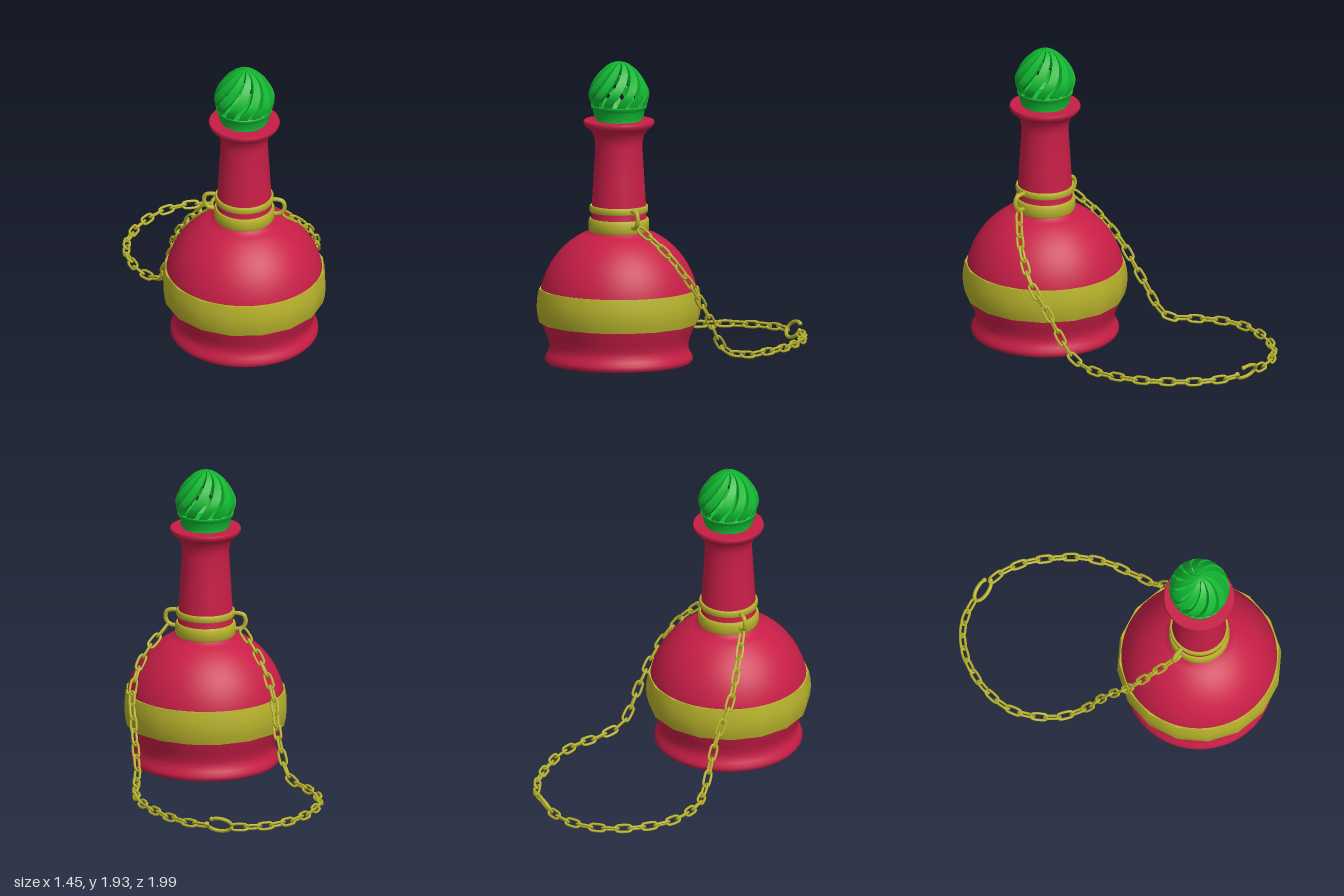
import * as THREE from 'three';
import { toCreasedNormals } from 'three/addons/utils/BufferGeometryUtils.js';

const V2 = (p) => new THREE.Vector2(p[0], p[1]);
const V3 = (p) => new THREE.Vector3(p[0], p[1], p[2]);
const mat = (color) => new THREE.MeshStandardMaterial({ color, side: THREE.DoubleSide });

function mesh(name, geometry, material, parent) {
  const m = new THREE.Mesh(geometry, material);
  m.name = name;
  parent.add(m);
  return m;
}

const lathe = (pts, sides, crease = 0.7) =>
  toCreasedNormals(new THREE.LatheGeometry(pts.map(V2), sides), crease);

// One twisted rib of the stopper: a rectangular section swept up the bulb profile
function ribGeometry(start, twist) {
  const profile = new THREE.SplineCurve([[0.16, 1.63], [0.186, 1.70], [0.19, 1.75], [0.166, 1.81],
    [0.12, 1.875], [0.06, 1.925], [0.004, 1.942]].map(V2));
  const steps = 22, pos = [], idx = [];
  for (let i = 0; i <= steps; i++) {
    const t = i / steps, p = profile.getPoint(t);
    const a = start + twist * t, w = 0.15 + 0.06 * t;
    const inner = Math.max(p.x - 0.03, 0.002), drop = 0.025 * t;
    for (const [da, r, y] of [[-w, p.x, p.y], [w, p.x, p.y], [w, inner, p.y - drop], [-w, inner, p.y - drop]])
      pos.push(r * Math.sin(a + da), y, r * Math.cos(a + da));
    if (i < steps) for (let k = 0; k < 4; k++) {
      const b = i * 4 + k, c = i * 4 + (k + 1) % 4;
      idx.push(b, c, c + 4, b, c + 4, b + 4);
    }
  }
  const g = new THREE.BufferGeometry();
  g.setAttribute('position', new THREE.Float32BufferAttribute(pos, 3));
  g.setIndex(idx);
  return toCreasedNormals(g, 0.7);
}

// Long oval link lying along x
function linkGeometry(halfLength, halfWidth, wire) {
  const pts = [];
  const straight = halfLength - halfWidth;
  for (let i = 0; i < 12; i++) {
    const a = (i + 0.5) / 12 * Math.PI * 2;
    pts.push(V3([Math.cos(a) * halfWidth + Math.sign(Math.cos(a)) * straight, Math.sin(a) * halfWidth, 0]));
  }
  return new THREE.TubeGeometry(new THREE.CatmullRomCurve3(pts, true), 28, wire, 7, true);
}

export function createModel() {
  const model = new THREE.Group();
  const red = mat(0xc81e46), gold = mat(0xb8b32c), green = mat(0x12b832);

  const bottle = new THREE.Group();
  bottle.name = 'bottle';
  bottle.position.set(0.2, 0, 0.48);
  model.add(bottle);

  // Body: recessed base, flared foot, round belly, tapering neck and lip
  const body = [[0, 0.07], [0.3, 0.065], [0.42, 0.05], [0.435, 0.03], [0.453, 0.03], [0.465, 0.045],
    [0.464, 0.065], [0.45, 0.09], [0.437, 0.12], [0.437, 0.15], [0.452, 0.2]];
  for (let a = -0.24; a < 1.13; a += 0.095)
    body.push([0.5 * Math.cos(a), 0.4 + 0.5 * Math.sin(a)]);
  body.push([0.185, 0.858], [0.176, 0.88], [0.172, 1.0], [0.16, 1.2], [0.148, 1.4], [0.151, 1.44],
    [0.163, 1.48], [0.187, 1.512], [0.205, 1.524], [0.216, 1.535], [0.224, 1.555], [0.22, 1.566],
    [0.14, 1.566], [0.12, 1.52], [0.12, 1.4]);
  mesh('body', lathe(body, 64, 0.9), red, bottle);

  // Gold bands
  mesh('bellyBand', lathe([[0.47, 0.285], [0.502, 0.285], [0.513, 0.33], [0.519, 0.385], [0.516, 0.44],
    [0.505, 0.5], [0.47, 0.5]], 16), gold, bottle);
  mesh('lowerNeckBand', lathe([[0.16, 0.862], [0.184, 0.862], [0.191, 0.875], [0.191, 0.93],
    [0.184, 0.945], [0.16, 0.945]], 32), gold, bottle);
  mesh('upperNeckBand', lathe([[0.16, 0.985], [0.181, 0.985], [0.185, 0.992], [0.185, 1.02],
    [0.181, 1.027], [0.16, 1.027]], 32), gold, bottle);

  // Side lugs joining the two neck bands
  for (const s of [1, -1]) {
    const path = new THREE.CatmullRomCurve3([[0.17, 1.008], [0.215, 1.01], [0.245, 1.0], [0.257, 0.97],
      [0.25, 0.935], [0.225, 0.912], [0.175, 0.905]].map(([x, y]) => V3([s * x, y, 0])));
    mesh(s > 0 ? 'leftLug' : 'rightLug', new THREE.TubeGeometry(path, 24, 0.014, 8), gold, bottle);
  }

  // Stopper: cup with a hollow cage of swirling ribs
  const stopper = new THREE.Group();
  stopper.name = 'stopper';
  bottle.add(stopper);
  mesh('stopperCup', lathe([[0, 1.56], [0.142, 1.56], [0.142, 1.582], [0.156, 1.585], [0.163, 1.635],
    [0.174, 1.645], [0.177, 1.662], [0.168, 1.668], [0.14, 1.66], [0.12, 1.62], [0, 1.61]], 48), green, stopper);
  const ribs = 12;
  for (let i = 0; i < ribs; i++)
    mesh('stopperRib', ribGeometry(i / ribs * Math.PI * 2, 1.3), green, stopper);

  // Chain: hangs from both lugs, drapes over the belly and lies on the ground behind
  const chain = new THREE.Group();
  chain.name = 'chain';
  model.add(chain);
  const path = new THREE.CatmullRomCurve3([
    [-0.04, 0.905, 0.466], [-0.156, 0.765, 0.386], [-0.27, 0.56, 0.28], [-0.33, 0.33, 0.153],
    [-0.43, 0.09, 0.037], [-0.553, 0.06, -0.063], [-0.655, 0.06, -0.21], [-0.698, 0.06, -0.344],
    [-0.694, 0.06, -0.5], [-0.648, 0.06, -0.66], [-0.569, 0.06, -0.794], [-0.447, 0.06, -0.9],
    [-0.315, 0.06, -0.947], [-0.18, 0.06, -0.958], [-0.024, 0.06, -0.937], [0.135, 0.06, -0.857],
    [0.278, 0.06, -0.725], [0.373, 0.06, -0.61], [0.452, 0.06, -0.45], [0.495, 0.06, -0.265],
    [0.518, 0.11, -0.106], [0.574, 0.36, 0.053], [0.607, 0.54, 0.175], [0.563, 0.74, 0.317],
    [0.447, 0.905, 0.46]].map(V3));
  path.arcLengthDivisions = 600;
  const count = Math.round(path.getLength() / 0.083);
  const link = linkGeometry(0.052, 0.021, 0.0085);
  const up = V3([0, 1, 0]);
  for (let i = 0; i < count; i++) {
    const u = (i + 0.5) / count, p = path.getPointAt(u);
    if (Math.hypot(p.x + 0.18, p.z + 0.955) < 0.055) continue;
    const x = path.getTangentAt(u);
    const z = new THREE.Vector3().crossVectors(x, up).normalize();
    const y = new THREE.Vector3().crossVectors(z, x);
    const m = mesh('chainLink', link, gold, chain);
    m.quaternion.setFromRotationMatrix(new THREE.Matrix4().makeBasis(x, y, z));
    m.rotateX((i % 2 ? 1 : -1) * Math.PI / 4);
    m.position.copy(p);
  }

  // Clasp: an open, tilted hook with a small gate knob
  const clasp = new THREE.Group();
  clasp.name = 'clasp';
  clasp.position.set(-0.18, 0.07, -0.955);
  clasp.rotation.set(-0.5, 0, 0.1);
  chain.add(clasp);
  const hook = [];
  for (let i = 0; i <= 14; i++) {
    const a = 0.9 + i / 14 * 5.3;
    hook.push(V3([0.08 * Math.cos(a), 0.055 * Math.sin(a), 0]));
  }
  mesh('claspHook', new THREE.TubeGeometry(new THREE.CatmullRomCurve3(hook), 40, 0.012, 8), gold, clasp);
  for (const p of [hook[0], hook[14]])
    mesh('claspEnd', new THREE.SphereGeometry(0.015, 12, 8), gold, clasp).position.copy(p);

  return model;
}
